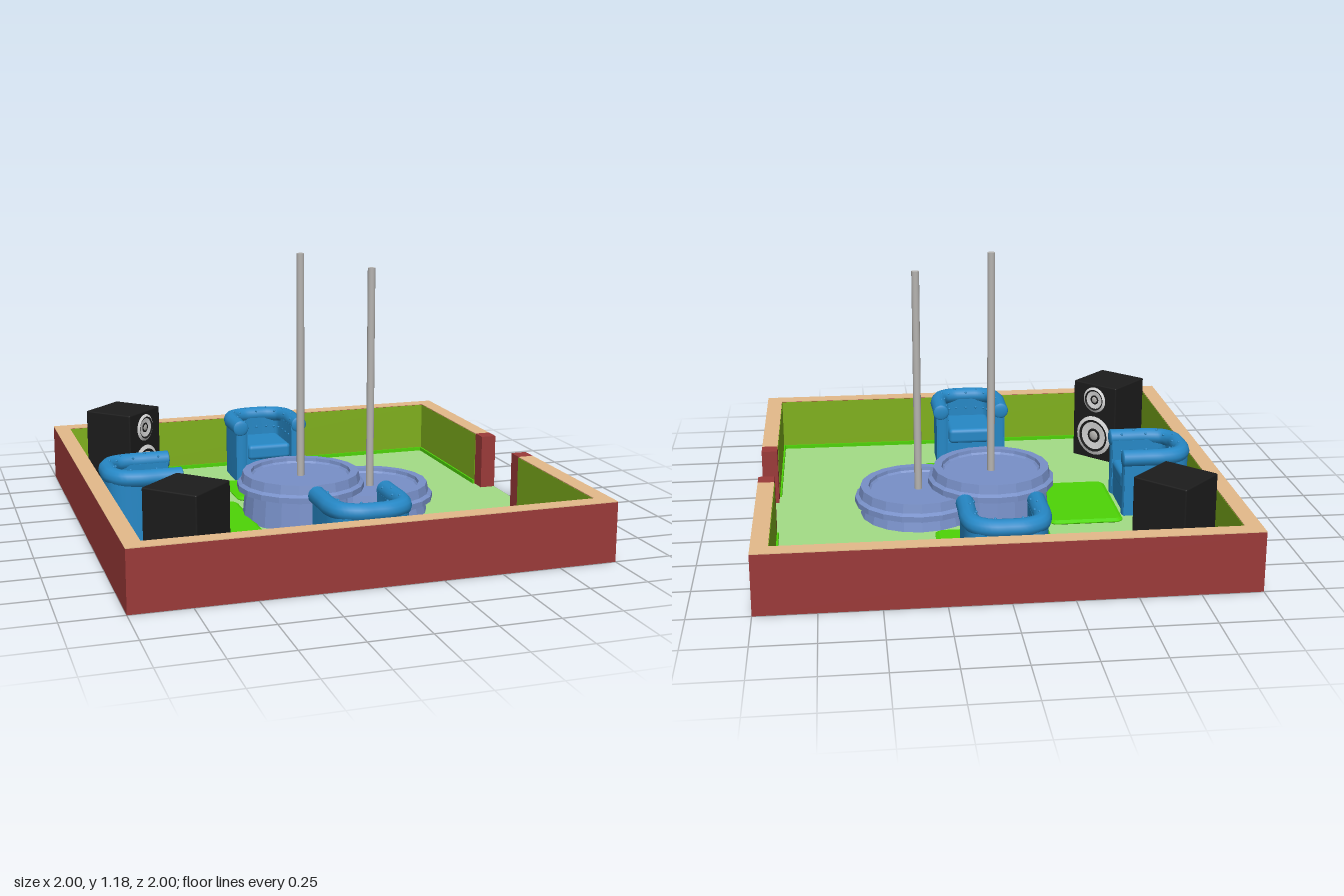
import * as THREE from 'three';
import { toCreasedNormals } from 'three/addons/utils/BufferGeometryUtils.js';
import { RoundedBoxGeometry } from 'three/addons/geometries/RoundedBoxGeometry.js';

const mat = (name, color, extra = {}) => Object.assign(new THREE.MeshStandardMaterial({ color, ...extra }), { name });
const M = {
  brick: mat('brick red', 0x9b3a39),
  cap: mat('tan', 0xe4ba8a),
  floor: mat('pale green', 0xa3dc86),
  panel: mat('olive', 0x7fb01c),
  rug: mat('bright green', 0x4ed406),
  leather: mat('blue', 0x2688c6),
  stage: mat('slate blue', 0x7890c8, { flatShading: true, side: THREE.DoubleSide }),
  metal: mat('metal grey', 0xb6b4b1),
  black: mat('black', 0x1c1c1c),
  silver: mat('silver', 0xdadada),
};

function add(parent, name, geo, material, x = 0, y = 0, z = 0) {
  const mesh = new THREE.Mesh(geo, material);
  mesh.name = name;
  mesh.position.set(x, y, z);
  parent.add(mesh);
  return mesh;
}

function group(parent, name, x = 0, y = 0, z = 0, turn = 0) {
  const g = new THREE.Group();
  g.name = name;
  g.position.set(x, y, z);
  g.rotation.y = turn;
  parent.add(g);
  return g;
}

// Box given by its limits
function slab(parent, name, material, x0, x1, y0, y1, z0, z1) {
  return add(parent, name, new THREE.BoxGeometry(x1 - x0, y1 - y0, z1 - z0), material,
    (x0 + x1) / 2, (y0 + y1) / 2, (z0 + z1) / 2);
}

// One wall run: brick core, tan cap, olive lining and a green skirting, inside face towards -z
function wall(parent, name, length, x, z, turn, trim = 0) {
  const g = group(parent, name, x, 0, z, turn);
  const h = length / 2, i = h - trim;
  slab(g, 'wallCore', M.brick, -h, h, 0, 0.252, -0.035, 0.035);
  slab(g, 'wallCap', M.cap, -h, h, 0.252, 0.255, -0.035, 0.035);
  slab(g, 'wallLining', M.panel, -i, i, 0.004, 0.251, -0.037, -0.035);
  slab(g, 'skirting', M.rug, -i, i, 0.004, 0.022, -0.045, -0.037);
}

function room(parent) {
  const g = group(parent, 'room');
  slab(g, 'floor', M.floor, -0.999, 0.999, 0, 0.005, -0.999, 0.999);
  wall(g, 'frontWall', 2, 0, 0.965, 0, 0.07);
  wall(g, 'backWall', 2, 0, -0.965, Math.PI, 0.07);
  wall(g, 'rightWall', 1.86, -0.965, 0, -Math.PI / 2);
  for (const s of [1, -1]) {
    wall(g, 'entranceWall', 0.695, 0.965, s * 0.5825, Math.PI / 2);
    slab(g, 'entrancePost', M.brick, 0.93, 1, 0, 0.255, s * 0.1985 - 0.0365, s * 0.1985 + 0.0365);
  }
}

// Round stage with a flared foot, a flange, a raised rim and a sunken top
function stage(parent, x, lift) {
  const g = group(parent, 'stage', x);
  const profile = [[0.262, 0], [0.25, 0.05 + lift], [0.285, 0.06 + lift], [0.285, 0.085 + lift],
    [0.268, 0.095 + lift], [0.26, 0.135 + lift], [0.224, 0.135 + lift], [0.222, 0.12 + lift],
    [0.214, 0.112 + lift], [0, 0.112 + lift]];
  add(g, 'stageBody', new THREE.LatheGeometry(profile.map(p => new THREE.Vector2(...p)), 20), M.stage);
  add(g, 'pole', new THREE.CylinderGeometry(0.017, 0.017, 1, 16), M.metal, 0, 0.61 + lift, 0);
}

// Flat rug with rounded corners and a bevelled border
function rug(parent, x, z, w, d) {
  const a = w / 2 - 0.016, b = d / 2 - 0.016, r = 0.02;
  const s = new THREE.Shape();
  s.absarc(a - r, b - r, r, 0, Math.PI / 2);
  s.absarc(r - a, b - r, r, Math.PI / 2, Math.PI);
  s.absarc(r - a, r - b, r, Math.PI, Math.PI * 1.5);
  s.absarc(a - r, r - b, r, Math.PI * 1.5, Math.PI * 2);
  const geo = new THREE.ExtrudeGeometry(s, {
    depth: 0.004, bevelThickness: 0.009, bevelSize: 0.016, bevelSegments: 1, curveSegments: 5 });
  geo.rotateX(-Math.PI / 2);
  add(parent, 'rug', toCreasedNormals(geo, 0.45), M.rug, x, 0.01, z);
}

// Tub armchair facing +z
function armchair(parent, x, z, turn) {
  const g = group(parent, 'armchair', x, 0, z, turn);
  const u = new THREE.Shape();
  u.moveTo(-0.168, -0.155);
  u.lineTo(-0.168, 0.02);
  u.quadraticCurveTo(-0.165, 0.15, -0.06, 0.152);
  u.lineTo(0.06, 0.152);
  u.quadraticCurveTo(0.165, 0.15, 0.168, 0.02);
  u.lineTo(0.168, -0.155);
  u.lineTo(0.11, -0.155);
  u.lineTo(0.11, 0.05);
  u.quadraticCurveTo(0.108, 0.092, 0.07, 0.092);
  u.lineTo(-0.07, 0.092);
  u.quadraticCurveTo(-0.108, 0.092, -0.11, 0.05);
  u.lineTo(-0.11, -0.155);
  const shell = new THREE.ExtrudeGeometry(u, { depth: 0.26, bevelEnabled: false, curveSegments: 8 });
  shell.rotateX(-Math.PI / 2);
  add(g, 'chairShell', toCreasedNormals(shell, 0.6), M.leather, 0, 0.005, 0);
  slab(g, 'chairBase', M.leather, -0.112, 0.112, 0.005, 0.11, -0.1, 0.15);
  add(g, 'seatCushion', new RoundedBoxGeometry(0.214, 0.075, 0.25, 3, 0.02), M.leather, 0, 0.142, 0.032);

  // Rolled arms and back
  const r = 0.038;
  const half = [[0.147, 0.158], [0.147, 0.07], [0.146, -0.02], [0.125, -0.087], [0.07, -0.122]];
  const flat = [...half.map(p => [-p[0], p[1]]), [0, -0.127], ...half.reverse()];
  const path = new THREE.CatmullRomCurve3(flat.map(p => new THREE.Vector3(p[0], 0.271, p[1])));
  add(g, 'roll', new THREE.TubeGeometry(path, 48, r, 12), M.leather);
  for (const s of [1, -1]) {
    const end = add(g, 'rollEnd', new THREE.SphereGeometry(r, 14, 10), M.leather, s * 0.147, 0.271, 0.158);
    end.scale.z = 0.25;
    const front = add(g, 'armFront', new THREE.CylinderGeometry(0.028, 0.028, 0.25, 12), M.leather, s * 0.14, 0.13, 0.15);
    front.scale.z = 0.4;
  }

  // Buttons on the roll and on the inner padding
  const button = new THREE.SphereGeometry(0.006, 8, 6);
  const up = new THREE.Vector3(0, 1, 0);
  for (let i = 0; i < 13; i++) {
    const t = 0.06 + 0.88 * i / 12;
    const p = path.getPointAt(t);
    const inward = path.getTangentAt(t).cross(up);
    const top = p.clone().addScaledVector(inward, (i % 2 ? 0.3 : 0.8) * r);
    add(g, 'button', button, M.leather, top.x, p.y + (i % 2 ? 0.93 : 0.58) * r, top.z);
    const low = p.clone().addScaledVector(inward, 0.037);
    add(g, 'button', button, M.leather, low.x, 0.215, low.z);
  }
}

// Loudspeaker facing +z with two round drivers
function speaker(parent, z, turn) {
  const g = group(parent, 'speaker', -0.705, 0, z, turn);
  add(g, 'cabinet', new RoundedBoxGeometry(0.248, 0.388, 0.248, 2, 0.006), M.black, 0, 0.196, 0);
  for (const [name, y, r] of [['woofer', 0.125, 0.1], ['tweeter', 0.311, 0.064]]) {
    const d = group(g, name, 0, y, 0.124);
    const ring = (label, material, a, b, ya, yb) => {
      const pts = [[b, yb], [a, ya]].map(([k, h]) => new THREE.Vector2(k * r, h));
      const geo = new THREE.LatheGeometry(pts, 24);
      geo.rotateX(Math.PI / 2);
      add(d, label, geo, material);
    };
    ring('outerRing', M.silver, 0.82, 1, 0.008, 0.001);
    ring('surround', M.black, 0.7, 0.82, 0.004, 0.008);
    ring('cone', M.silver, 0.36, 0.7, 0.001, 0.004);
    ring('coneCentre', M.black, 0.24, 0.36, 0.003, 0.001);
    const dome = add(d, 'dustCap', new THREE.SphereGeometry(0.26 * r, 16, 8), M.metal);
    dome.scale.z = 0.35;
  }
}

export function createModel() {
  const model = new THREE.Group();
  model.name = 'loungeRoom';
  room(model);
  stage(model, -0.03, 0.075);
  stage(model, 0.3, 0);
  rug(model, 0, -0.43, 0.495, 0.32);
  rug(model, 0, 0.43, 0.495, 0.32);
  rug(model, -0.43, 0, 0.33, 0.495);
  armchair(model, 0, -0.765, 0);
  armchair(model, 0, 0.765, Math.PI);
  armchair(model, -0.765, 0, Math.PI / 2);
  speaker(model, -0.695, Math.PI / 4);
  speaker(model, 0.695, Math.PI * 0.75);
  return model;
}
